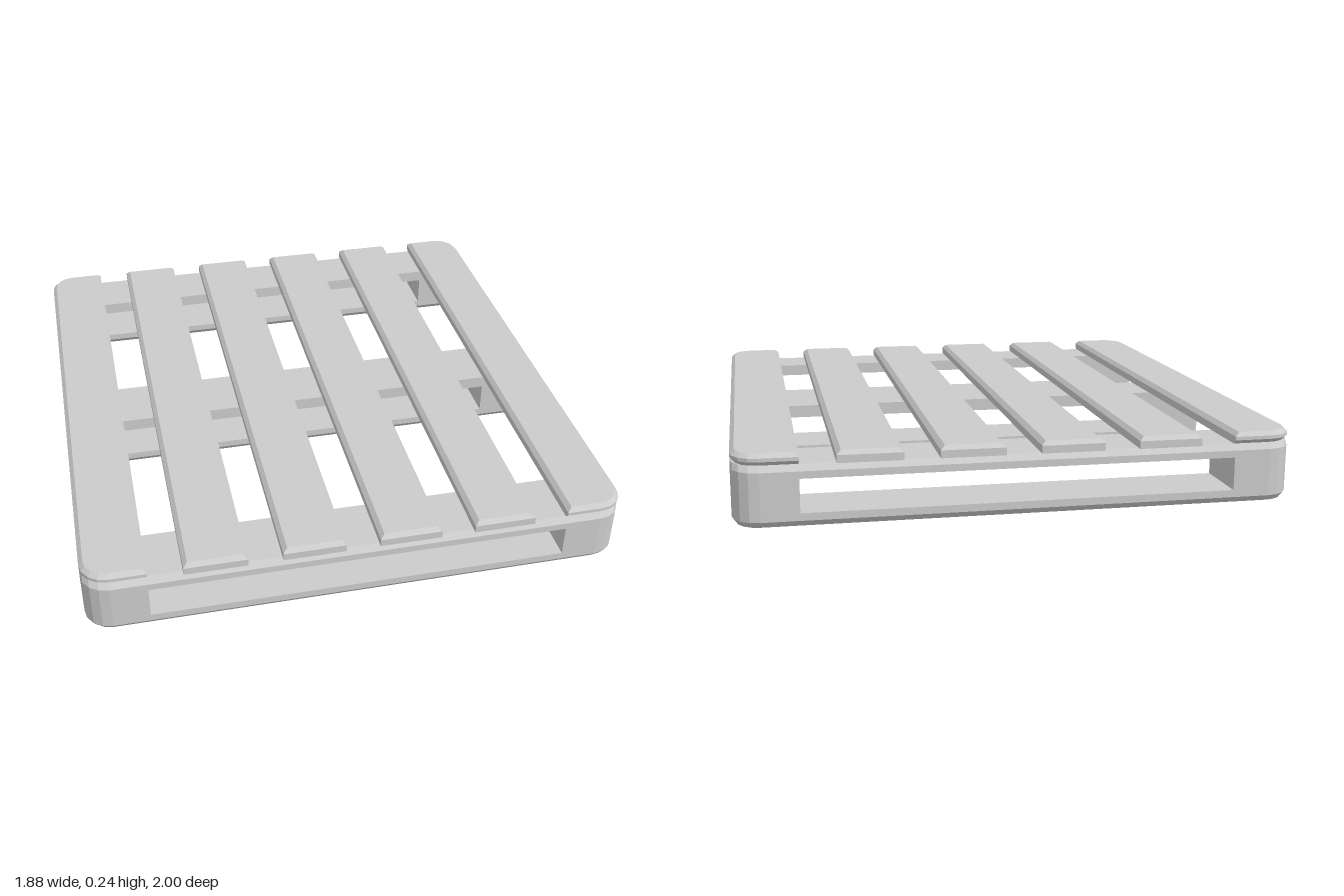
import * as THREE from 'three';

const material = new THREE.MeshStandardMaterial({ color: 0xcccccc, flatShading: true });
const NONE = [0, 0, 0, 0];

// Plan outline at height y. box and inset: [x0, x1, z0, z1];
// radii per corner: [x1z1, x0z1, x0z0, x1z0].
function ring(box, radii, inset, y) {
  const x0 = box[0] + inset[0], x1 = box[1] - inset[1];
  const z0 = box[2] + inset[2], z1 = box[3] - inset[3];
  const corners = [
    [x1, z1, 1, 1, Math.min(inset[1], inset[3])],
    [x0, z1, -1, 1, Math.min(inset[0], inset[3])],
    [x0, z0, -1, -1, Math.min(inset[0], inset[2])],
    [x1, z0, 1, -1, Math.min(inset[1], inset[2])],
  ];
  const points = [];
  corners.forEach(([x, z, sx, sz, cut], c) => {
    if (radii[c] === 0) {
      points.push(new THREE.Vector3(x, y, z));
      return;
    }
    const r = Math.max(radii[c] - cut, 0.002);
    const steps = radii[c] > 0.03 ? 4 : 1;
    for (let i = 0; i <= steps; i++) {
      const a = (c + i / steps) * Math.PI / 2;
      points.push(new THREE.Vector3(x - sx * r + Math.cos(a) * r, y, z - sz * r + Math.sin(a) * r));
    }
  });
  return points;
}

// Solid through a stack of outlines, levels: [[y, inset], ...]
function stack(name, box, radii, levels, capped = true) {
  const rings = levels.map(([y, inset]) => ring(box, radii, inset, y));
  const n = rings[0].length, tri = [];
  for (let l = 0; l + 1 < rings.length; l++) {
    const a = rings[l], b = rings[l + 1];
    for (let i = 0; i < n; i++) {
      const j = (i + 1) % n;
      tri.push(a[i], b[i], b[j], a[i], b[j], a[j]);
    }
  }
  if (capped) {
    const bottom = rings[0], top = rings[rings.length - 1];
    for (let i = 1; i + 1 < n; i++) {
      tri.push(bottom[0], bottom[i], bottom[i + 1], top[0], top[i + 1], top[i]);
    }
  }
  const geometry = new THREE.BufferGeometry().setFromPoints(tri);
  geometry.computeVertexNormals();
  const mesh = new THREE.Mesh(geometry, material);
  mesh.name = name;
  return mesh;
}

const W = 0.94, D = 1, DECK = 0.203, TOP = 0.243;
const ROUND = 0.09, EDGE = 0.015;

// Runner with a long slot; side is 1 at the front, -1 at the back, 0 in the middle
function runner(name, side) {
  const group = new THREE.Group();
  group.name = name;
  const z = side * (D - 0.11);
  const box = [-W, W, z - 0.11, z + 0.11];
  const front = side > 0 ? ROUND : EDGE, back = side < 0 ? ROUND : EDGE;
  const radii = [front, front, back, back];
  const bevel = [EDGE, EDGE, EDGE, EDGE];
  const topCut = [0, 0, side < 0 ? 0.018 : 0, side > 0 ? 0.018 : 0];
  group.add(
    stack('bottomRail', box, radii, [[0, bevel], [0.02, NONE], [0.045, NONE]]),
    stack('topRail', box, radii, [[0.158, NONE], [0.182, NONE], [DECK, topCut]]),
    stack('leftEndBlock', [0.725, W, box[2], box[3]], [front, 0, 0, back],
      [[0.045, NONE], [0.158, NONE]], false),
    stack('rightEndBlock', [-W, -0.725, box[2], box[3]], [0, front, back, 0],
      [[0.045, NONE], [0.158, NONE]], false),
  );
  return group;
}

export function createModel() {
  const model = new THREE.Group();
  model.name = 'pallet';

  model.add(runner('frontRunner', 1), runner('middleRunner', 0), runner('backRunner', -1));

  // Deck slats, the outermost with rounded corners and an undercut edge
  const e = EDGE, bevel = [e, e, e, e];
  for (let i = 0; i < 6; i++) {
    const x = -0.8325 + i * 0.333;
    const box = [x - 0.1075, x + 0.1075, -D, D];
    if (i === 0 || i === 5) {
      const right = i === 0;
      const radii = right ? [0, ROUND, ROUND, 0] : [ROUND, 0, 0, ROUND];
      const under = right ? [e, 0, e, e] : [0, e, e, e];
      model.add(stack('outerSlat', box, radii,
        [[DECK, under], [DECK + 0.014, NONE], [TOP - 0.014, NONE], [TOP, bevel]]));
    } else {
      model.add(stack('slat', box, NONE,
        [[DECK, NONE], [TOP - 0.014, NONE], [TOP, bevel]]));
    }
  }
  return model;
}
